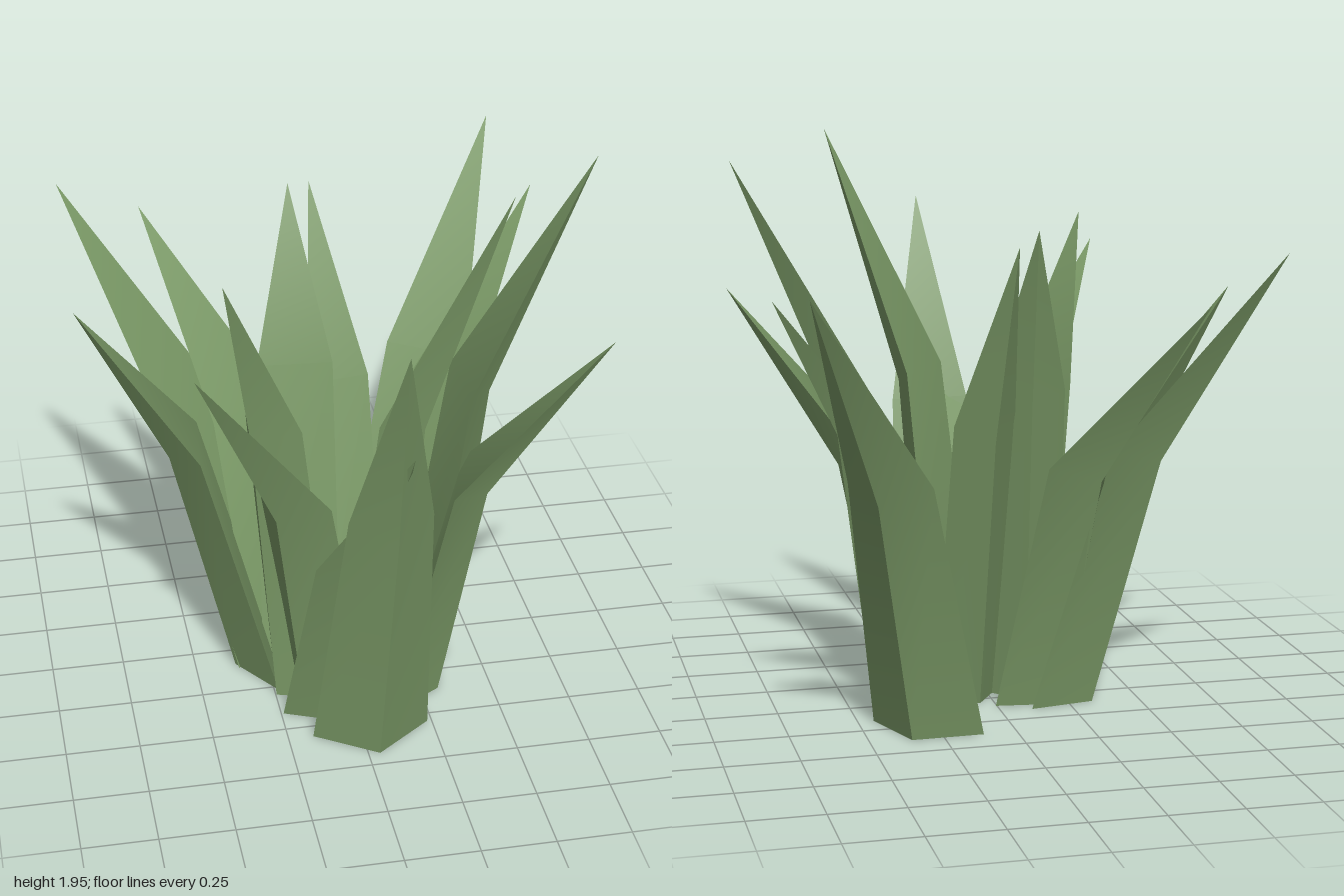
import * as THREE from 'three';

// One leaf per row: base x,z | bend x,y,z | tip x,y,z | half width at base, at bend
const LEAVES = [
  [0.28, -0.265, 0.445, 0.89, -0.485, 0.78, 1.57, -1.0, 0.2, 0.15],
  [0.20, -0.01, 0.42, 0.9, -0.18, 0.82, 1.5, -0.51, 0.16, 0.13],
  [0.25, 0.165, 0.42, 1.1, 0.15, 0.86, 1.88, 0.14, 0.17, 0.135],
  [0.18, 0.32, 0.37, 0.83, 0.34, 0.83, 1.4, 0.53, 0.16, 0.14],
  [0.06, 0.25, 0.16, 1.12, 0.34, 0.47, 1.95, 0.56, 0.17, 0.14],
  [0.035, 0.55, 0.06, 0.94, 0.72, 0.05, 1.66, 1.0, 0.2, 0.14],
  [-0.09, 0.36, -0.02, 0.7, 0.56, 0.09, 1.26, 0.91, 0.16, 0.15],
  [-0.06, 0.29, -0.2, 0.88, 0.43, -0.56, 1.51, 0.75, 0.18, 0.15],
  [-0.13, 0.22, -0.24, 1.08, 0.25, -0.42, 1.65, 0.41, 0.17, 0.14],
  [-0.22, 0.10, -0.465, 0.9, 0.06, -0.86, 1.42, 0.04, 0.17, 0.15],
  [-0.23, -0.02, -0.46, 0.92, -0.17, -0.85, 1.61, -0.58, 0.18, 0.16],
  [-0.14, 0.0, -0.26, 0.87, -0.2, -0.56, 1.46, -0.67, 0.17, 0.15],
  [-0.12, 0.09, -0.11, 1.1, -0.07, -0.09, 1.67, -0.3, 0.14, 0.13],
  [0.07, 0.09, 0.05, 1.0, -0.12, 0.0, 1.63, -0.4, 0.12, 0.11],
];

// Triangular section: two inner edges and an outward keel
function section(x, y, z, dx, dz, half, depth, drop) {
  return [
    [x - dz * half, y, z + dx * half],
    [x + dz * half, y, z - dx * half],
    [x + dx * depth, y - drop, z + dz * depth],
  ];
}

function leafGeometry([bx, bz, mx, my, mz, tx, ty, tz, baseHalf, bendHalf]) {
  const length = Math.hypot(tx - bx, tz - bz);
  const dx = (tx - bx) / length, dz = (tz - bz) / length;
  const base = section(bx, 0, bz, dx, dz, baseHalf, 0.14, 0);
  const bend = section(mx, my, mz, dx, dz, bendHalf, 0.1, 0.05);
  const points = [...base];
  const index = [0, 1, 2];
  // Each side shares vertices along its length, so it curves smoothly between sharp edges
  for (let i = 0; i < 3; i++) {
    const j = (i + 1) % 3, n = points.length;
    points.push(base[i], base[j], bend[i], bend[j], [tx, ty, tz]);
    index.push(n, n + 2, n + 1, n + 1, n + 2, n + 3, n + 2, n + 4, n + 3);
  }
  const geometry = new THREE.BufferGeometry();
  geometry.setAttribute('position', new THREE.Float32BufferAttribute(points.flat(), 3));
  geometry.setIndex(index);
  geometry.computeVertexNormals();
  return geometry;
}

export function createModel() {
  const plant = new THREE.Group();
  plant.name = 'spikyPlant';
  const leafGreen = new THREE.MeshStandardMaterial({ color: 0x7a9966 });
  leafGreen.name = 'leafGreen';
  LEAVES.forEach((row, i) => {
    const leaf = new THREE.Mesh(leafGeometry(row), leafGreen);
    leaf.name = `leaf${i + 1}`;
    plant.add(leaf);
  });
  return plant;
}
